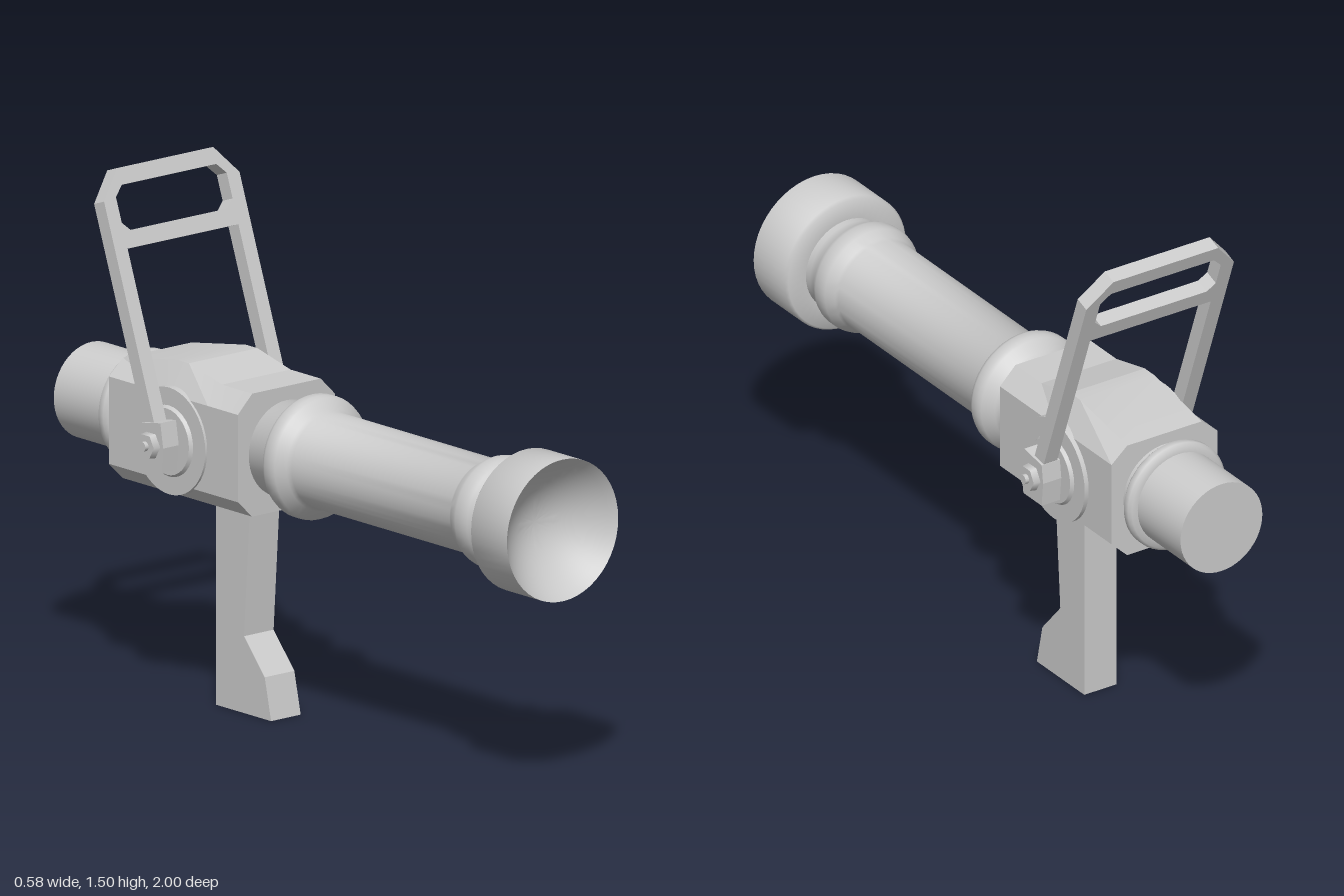
import * as THREE from 'three';
import { toCreasedNormals } from 'three/addons/utils/BufferGeometryUtils.js';

const material = new THREE.MeshStandardMaterial({ color: 0xcccccc, side: THREE.DoubleSide });
const AXIS_X = -0.005, AXIS_Y = 0.775;   // barrel axis
const PIVOT_Y = 0.77, PIVOT_Z = -0.455;  // handle hinge

function add(parent, name, geometry, x = 0, y = 0, z = 0) {
  const mesh = new THREE.Mesh(geometry, material);
  mesh.name = name;
  mesh.position.set(x, y, z);
  parent.add(mesh);
  return mesh;
}

const shapeOf = (points) => new THREE.Shape(points.map(([x, y]) => new THREE.Vector2(x, y)));

// Extrude centred on its own depth
function slab(shape, depth) {
  return new THREE.ExtrudeGeometry(shape, { depth, bevelEnabled: false }).translate(0, 0, -depth / 2);
}

// Barrel profile [radius, z] from the closed rear to the bowl in the muzzle
function barrelGeometry() {
  const profile = [
    [0, -1], [0.137, -1], [0.137, -0.79],
    [0.155, -0.788], [0.163, -0.78], [0.163, -0.76], [0.155, -0.75], [0.137, -0.748],
    [0.137, -0.11], [0.145, -0.1], [0.172, -0.072], [0.177, -0.06], [0.177, -0.035],
    [0.172, -0.022], [0.145, -0.002], [0.137, 0.01],
    [0.137, 0.68], [0.142, 0.69], [0.157, 0.718], [0.16, 0.73], [0.16, 0.76],
    [0.155, 0.775], [0.14, 0.8], [0.137, 0.82], [0.137, 0.84],
    [0.196, 0.84], [0.203, 0.848], [0.203, 1],
  ];
  for (let i = 1; i <= 10; i++) {
    const t = 1 - i / 10;
    profile.push([0.203 * t, 1 - 0.12 * (1 - t * t)]);
  }
  const lathe = new THREE.LatheGeometry(profile.map(([r, z]) => new THREE.Vector2(r, z)), 48);
  return toCreasedNormals(lathe.rotateX(Math.PI / 2), 0.9);
}

// Octagonal housing lofted along z, its top rising in the middle
function housingGeometry() {
  const stations = [[-0.72, 0.945], [-0.49, 0.985], [-0.44, 0.985], [-0.3, 0.952], [-0.172, 0.952]];
  const positions = [], index = [];
  for (const [z, top] of stations) {
    const ring = [[0.125, 0.6], [0.177, 0.65], [0.177, 0.9], [0.125, top],
      [-0.125, top], [-0.177, 0.9], [-0.177, 0.65], [-0.125, 0.6]];
    for (const [x, y] of ring) positions.push(x, y, z);
  }
  const last = (stations.length - 1) * 8;
  for (let s = 0; s < last; s += 8) {
    for (let i = 0; i < 8; i++) {
      const a = s + i, b = s + (i + 1) % 8;
      index.push(a, b, b + 8, a, b + 8, a + 8);
    }
  }
  for (let i = 1; i < 7; i++) {
    index.push(0, i + 1, i);
    index.push(last, last + i, last + i + 1);
  }
  const geometry = new THREE.BufferGeometry();
  geometry.setAttribute('position', new THREE.Float32BufferAttribute(positions, 3));
  geometry.setIndex(index);
  return toCreasedNormals(geometry, 0.2);
}

// U-shaped frame with a chamfered grip slot, drawn upward from the hinge
function handleGeometry() {
  const half = [[0.202, 0.04], [0.247, 0.04], [0.247, 0.685], [0.175, 0.768]];
  const mirrored = half.map(([x, y]) => [-x, y]).reverse();
  const frame = shapeOf([[0.202, 0.544], ...half, ...mirrored, [-0.202, 0.544]]);
  const slot = [[0.202, 0.617], [0.202, 0.69], [0.172, 0.72], [-0.172, 0.72],
    [-0.202, 0.69], [-0.202, 0.617], [-0.177, 0.593], [0.177, 0.593]];
  frame.holes.push(new THREE.Path(slot.map(([x, y]) => new THREE.Vector2(x, y))));
  return slab(frame, 0.045);
}

// Disc, hinge block and bolt for one side (side = 1 or -1)
function hinge(side) {
  const group = new THREE.Group();
  group.name = side > 0 ? 'leftHinge' : 'rightHinge';
  group.position.set(0, PIVOT_Y, PIVOT_Z);
  const disc = (r0, r1, width, sides) =>
    new THREE.CylinderGeometry(r1, r0, width, sides).rotateZ(-side * Math.PI / 2);
  add(group, 'hingeDisc', disc(0.153, 0.153, 0.025, 40), side * 0.175 - 0.002);
  add(group, 'discBoss', disc(0.105, 0.095, 0.014, 32), side * 0.19 - 0.002);
  const block = shapeOf([[0.045, -0.072], [0.052, 0], [0.04, 0.07], [-0.045, 0.055], [-0.052, 0], [-0.045, -0.072]]);
  // shape x becomes +z
  add(group, 'hingeBlock', slab(block, 0.062).rotateY(-Math.PI / 2), side * 0.225);
  add(group, 'hingeBolt', disc(0.04, 0.036, 0.025, 6), side * 0.264);
  add(group, 'boltPin', disc(0.014, 0.014, 0.02, 12), side * 0.278);
  return group;
}

export function createModel() {
  const model = new THREE.Group();
  model.name = 'launcher';

  add(model, 'barrel', barrelGeometry(), AXIS_X, AXIS_Y, 0);
  add(model, 'housing', housingGeometry(), AXIS_X);

  // Pistol grip with a toe flaring forward at the foot
  const grip = shapeOf([[-0.413, 0], [-0.18, 0], [-0.207, 0.12], [-0.295, 0.22], [-0.268, 0.62], [-0.413, 0.62]]);
  add(model, 'grip', slab(grip, 0.108).rotateY(-Math.PI / 2));

  // Carrying handle leaning back over the housing
  const handle = add(model, 'carryHandle', handleGeometry(), 0.001, PIVOT_Y, PIVOT_Z);
  handle.rotation.x = -0.345;

  for (const side of [1, -1]) model.add(hinge(side));
  return model;
}
